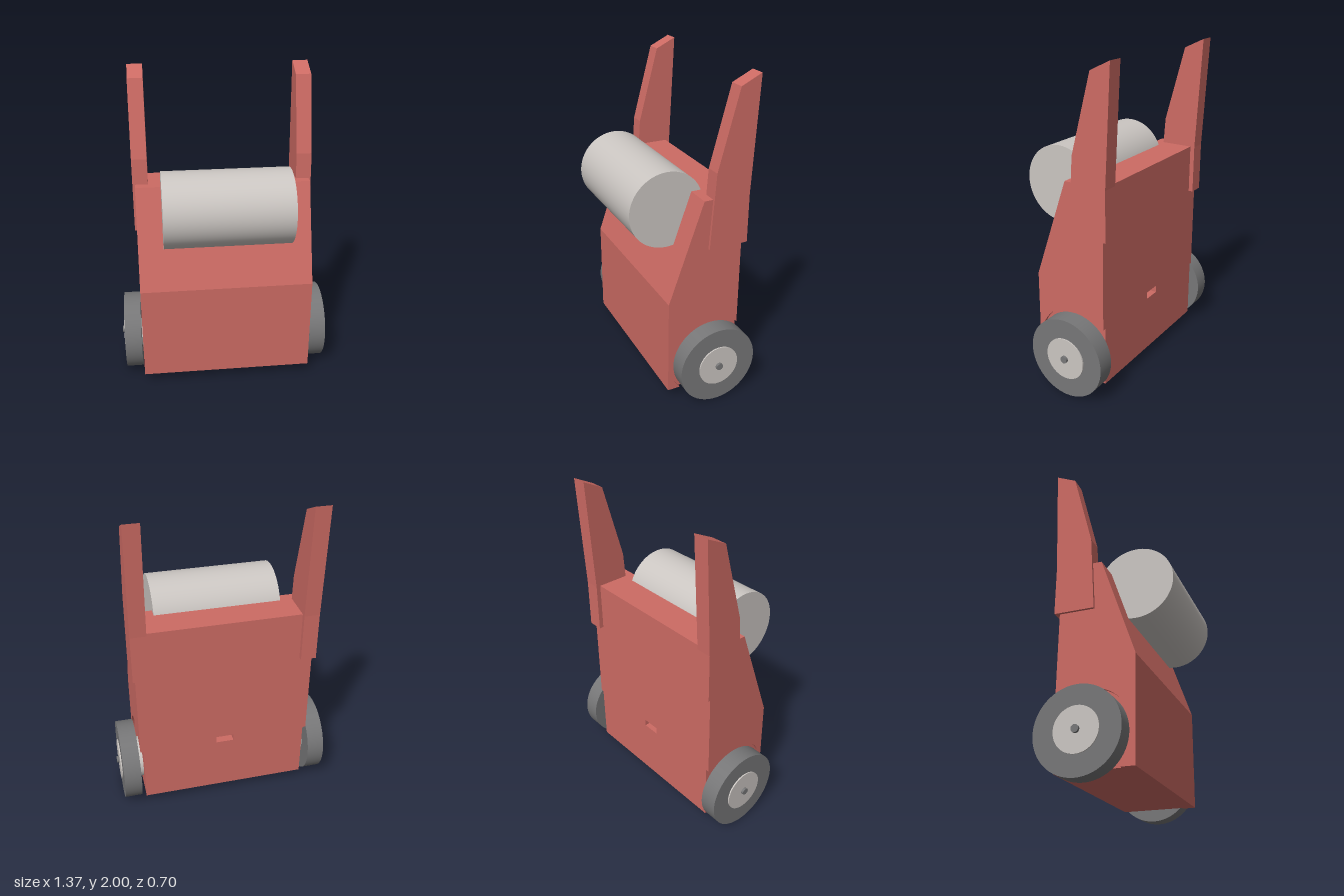
import * as THREE from 'three';

const material = (name, color) => {
  const m = new THREE.MeshStandardMaterial({ color });
  m.name = name;
  return m;
};

// Extrudes a (z, y) side profile along x, from x0 to x1
function sideExtrude(shape, x0, x1) {
  const g = new THREE.ExtrudeGeometry(shape, { depth: x1 - x0, bevelEnabled: false, curveSegments: 40 });
  return g.rotateY(-Math.PI / 2).translate(x1, 0, 0);
}

const polygon = (pts) => new THREE.Shape(pts.map(([a, b]) => new THREE.Vector2(a, b)));

// Cylinder lying along x, from x0 to x1
function xCylinder(r, x0, x1, y, z, segments = 48) {
  return new THREE.CylinderGeometry(r, r, x1 - x0, segments)
    .rotateZ(Math.PI / 2)
    .translate((x0 + x1) / 2, y, z);
}

export function createModel() {
  const red = material('red body', 0xcd6b64);
  const pale = material('pale grey', 0xcbc6c2);
  const dark = material('dark grey', 0x777778);

  const model = new THREE.Group();
  const add = (name, geometry, mat) => {
    const mesh = new THREE.Mesh(geometry, mat);
    mesh.name = name;
    model.add(mesh);
  };

  const halfWidth = 0.547, core = 0.527;
  const front = 0.18, back = -0.29, plate = -0.24;
  const bottom = 0.07, top = 1.31;
  const wheelY = 0.253, wheelZ = -0.1, wellR = 0.27;

  // Body core with a sloping upper front
  add('bodyCore', sideExtrude(polygon([
    [plate, bottom], [front, bottom], [front, 0.69], [-0.035, top], [plate, top],
  ]), -core, core), red);

  // Back plate with a small slot
  const backShape = polygon([[-core, bottom], [core, bottom], [core, top], [-core, top]]);
  backShape.holes.push(polygon([[-0.057, 0.43], [-0.057, 0.475], [0.057, 0.475], [0.057, 0.43]]));
  add('backPlate', new THREE.ExtrudeGeometry(backShape, { depth: plate - back, bevelEnabled: false })
    .translate(0, 0, back), red);

  // Side panels with shallow round wheel wells
  const wellTop = wheelY + Math.sqrt(wellR ** 2 - (back - wheelZ) ** 2);
  const wellFront = wheelZ + Math.sqrt(wellR ** 2 - (bottom - wheelY) ** 2);
  const panel = polygon([
    [wellFront, bottom], [front, bottom], [front, 0.69], [-0.035, top], [back, top], [back, wellTop],
  ]);
  panel.absarc(wheelZ, wheelY, wellR,
    Math.atan2(wellTop - wheelY, back - wheelZ),
    Math.atan2(bottom - wheelY, wellFront - wheelZ), true);

  // Tapering upright arm
  const arm = polygon([
    [-0.318, 1.005], [-0.07, 1.005], [-0.1, 1.47], [-0.225, 1.94], [-0.35, 2], [-0.318, 1.31],
  ]);

  for (const [side, s] of [['left', 1], ['right', -1]]) {
    const span = (a, b) => (s > 0 ? [a, b] : [-b, -a]);
    add(side + 'SidePanel', sideExtrude(panel, ...span(core, halfWidth)), red);
    add(side + 'Arm', sideExtrude(arm, ...span(0.467, 0.563)), red);
    add(side + 'Tyre', xCylinder(0.25, ...span(0.556, 0.664), wheelY, wheelZ, 64), dark);
    add(side + 'Hub', xCylinder(0.13, ...span(0.525, 0.672), wheelY, wheelZ), pale);
    add(side + 'AxleEnd', xCylinder(0.022, ...span(0.6, 0.687), wheelY, wheelZ, 24), dark);
  }

  // Large drum set into the sloping front
  add('drum', xCylinder(0.234, -0.39, 0.39, 1.221, 0.12, 64), pale);

  return model;
}
